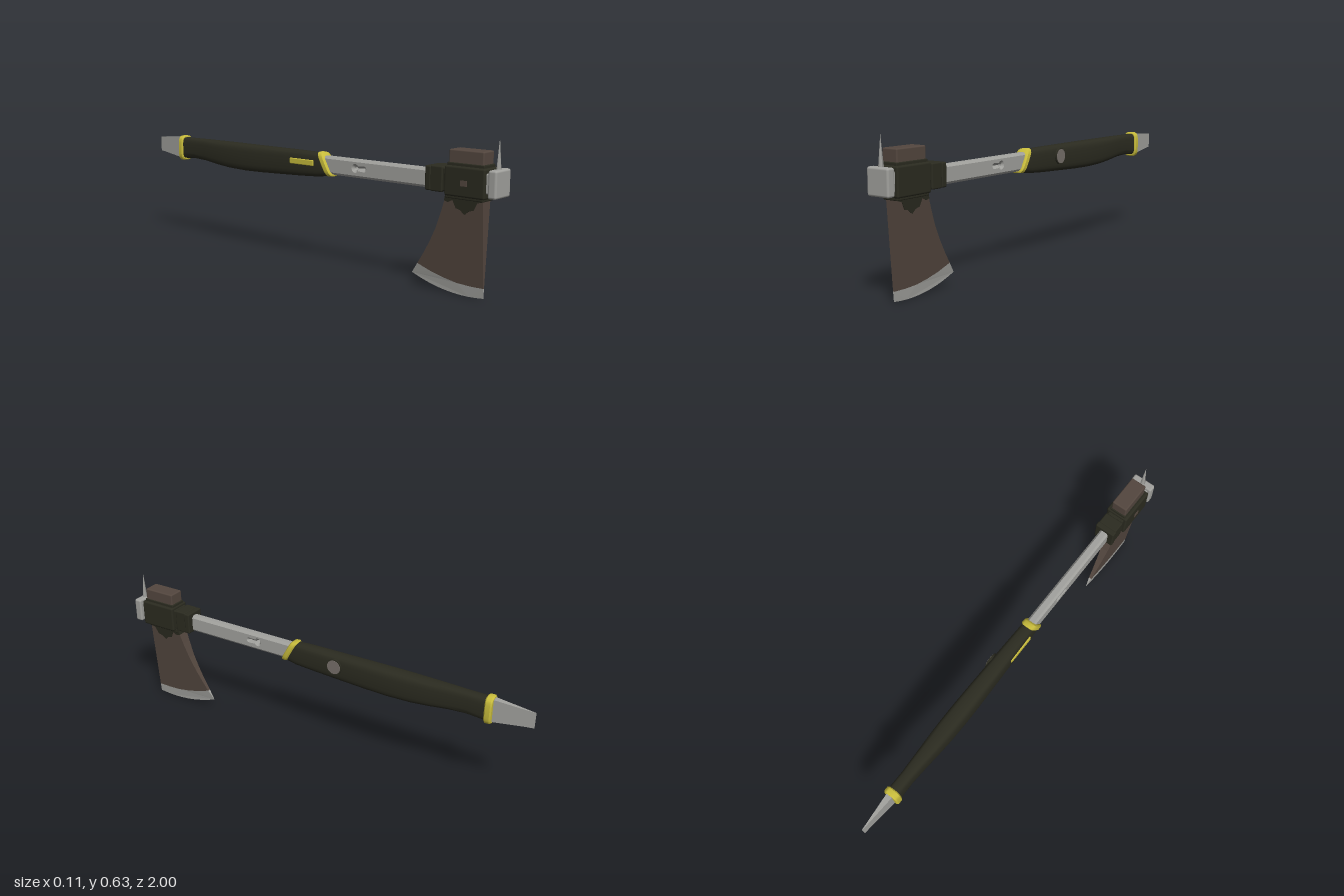
import * as THREE from 'three';
import { toCreasedNormals } from 'three/addons/utils/BufferGeometryUtils.js';
import { RoundedBoxGeometry } from 'three/addons/geometries/RoundedBoxGeometry.js';

const mat = (name, color) => {
  const m = new THREE.MeshStandardMaterial({ color });
  m.name = name;
  return m;
};

export function createModel() {
  const group = new THREE.Group();
  const steel = mat('steel', 0xa2a29e);
  const brown = mat('brown iron', 0x54473f);
  const dark = mat('dark rubber', 0x2b2b20);
  const yellow = mat('yellow', 0xc9bd3c);
  const grey = mat('button grey', 0x77706a);

  const add = (name, geo, material, x = 0, y = 0, z = 0) => {
    const mesh = new THREE.Mesh(geo, material);
    mesh.name = name;
    mesh.position.set(x, y, z);
    group.add(mesh);
    return mesh;
  };

  // Box given by half width, y range and z range, with softened edges
  const block = (name, material, w, y0, y1, z0, z1, r = 0.006) =>
    add(name, new RoundedBoxGeometry(2 * w, y1 - y0, z1 - z0, 2, r), material, 0, (y0 + y1) / 2, (z0 + z1) / 2);

  // Side outline of (z, y) points, extruded across x; halfWidth(z, y) shapes its thickness
  const plate = (name, material, points, halfWidth) => {
    const shape = new THREE.Shape(points.map(([z, y]) => new THREE.Vector2(z, y)));
    const geo = new THREE.ExtrudeGeometry(shape, { depth: 2, bevelEnabled: false });
    geo.translate(0, 0, -1).rotateY(-Math.PI / 2);
    const p = geo.attributes.position;
    for (let i = 0; i < p.count; i++) p.setX(i, p.getX(i) * halfWidth(p.getZ(i), p.getY(i)));
    geo.computeVertexNormals();
    return add(name, geo, material);
  };

  // Rounded-rectangle sections [z, bottom, top, halfWidth, slant] running towards -z
  const loft = (name, material, sections, power = 0.55, n = 24) => {
    const pos = [], idx = [];
    const signed = v => Math.sign(v) * Math.abs(v) ** power;
    for (const [z, y0, y1, w, slant = 0] of sections) {
      for (let j = 0; j < n; j++) {
        const a = (j / n) * Math.PI * 2;
        const dy = signed(Math.sin(a)) * (y1 - y0) / 2;
        pos.push(signed(Math.cos(a)) * w, (y0 + y1) / 2 + dy, z + slant * dy);
      }
    }
    const last = sections.length - 1;
    for (let i = 0; i < last; i++) {
      for (let j = 0; j < n; j++) {
        const a = i * n + j, b = i * n + (j + 1) % n;
        idx.push(a, a + n, b, b, a + n, b + n);
      }
    }
    for (const i of [0, last]) {
      const c = pos.length / 3, [z, y0, y1] = sections[i];
      pos.push(0, (y0 + y1) / 2, z);
      for (let j = 0; j < n; j++) {
        const a = i * n + j, b = i * n + (j + 1) % n;
        idx.push(c, ...(i ? [b, a] : [a, b]));
      }
    }
    const geo = new THREE.BufferGeometry();
    geo.setAttribute('position', new THREE.Float32BufferAttribute(pos, 3));
    geo.setIndex(idx);
    return add(name, toCreasedNormals(geo, 0.6), material);
  };

  // Blade: a wedge thinning towards the cutting edge
  const taper = (z, y) => 0.07 * y;
  const low = z => 0.8 * (z - 0.85) ** 2;
  const border = [[0.93, 0.045], [0.87, 0.044], [0.81, 0.047], [0.75, 0.058], [0.69, 0.073], [0.622, 0.097]];
  plate('blade', brown, [
    [0.93, 0.42], ...border, [0.65, 0.14], [0.685, 0.2], [0.715, 0.26], [0.742, 0.33], [0.762, 0.39], [0.765, 0.42],
  ], taper);
  const edge = [];
  for (let i = 0; i <= 10; i++) {
    const z = 0.592 + 0.0338 * i;
    edge.push([z, low(z)]);
  }
  plate('cuttingEdge', steel, [...border, ...edge], (z, y) => (y - low(z) < 0.002 ? 0.0002 : taper(z, y)));
  plate('bladeSleeve', dark, [
    [0.932, 0.41], [0.932, 0.388], [0.905, 0.38], [0.89, 0.35], [0.87, 0.345], [0.848, 0.328],
    [0.83, 0.345], [0.81, 0.35], [0.795, 0.382], [0.775, 0.37], [0.757, 0.375], [0.765, 0.41],
  ], (z, y) => taper(z, y) + 0.002);

  // Head housing, flanges and stepped collar
  block('headHousing', dark, 0.053, 0.4, 0.518, 0.77, 0.95, 0.008);
  block('lowerFlange', dark, 0.036, 0.388, 0.41, 0.765, 0.937, 0.004);
  block('upperFlange', dark, 0.04, 0.51, 0.53, 0.775, 0.94, 0.004);
  block('headTop', brown, 0.037, 0.5, 0.58, 0.78, 0.935, 0.006);
  block('collarNeck', dark, 0.04, 0.412, 0.506, 0.74, 0.78);
  block('collarMiddle', dark, 0.045, 0.408, 0.51, 0.7, 0.757);
  block('collarEnd', dark, 0.048, 0.41, 0.508, 0.677, 0.704);
  add('rivet', new THREE.BoxGeometry(0.006, 0.022, 0.03), brown, -0.053, 0.455, 0.86);

  // Hammer face and spike
  block('hammerNeck', steel, 0.04, 0.422, 0.5, 0.94, 0.97);
  block('hammerFace', steel, 0.054, 0.407, 0.516, 0.963, 1, 0.009);
  const spike = add('spike', new THREE.ConeGeometry(0.02, 0.2, 6), steel, 0, 0.535, 0.978);
  spike.scale.z = 0.75;

  // Shaft with chamfered edges and a keyhole slot
  const shaftShape = new THREE.Shape([[0.08, 0.424], [0.69, 0.424], [0.69, 0.482], [0.08, 0.482]]
    .map(p => new THREE.Vector2(...p)));
  const slot = new THREE.Path();
  slot.absarc(0.345, 0.455, 0.013, Math.PI / 2 + 1.1, Math.PI / 2 - 1.1 + Math.PI * 2 - Math.PI * 2, true);
  slot.absarc(0.345, 0.455, 0.013, 0.5, -0.5, true);
  const keyhole = new THREE.Path();
  keyhole.absarc(0.304, 0.455, 0.019, 0.6, Math.PI * 2 - 0.6, false);
  keyhole.absarc(0.352, 0.455, 0.0125, -Math.PI / 2, Math.PI / 2, false);
  keyhole.closePath();
  shaftShape.holes.push(keyhole);
  const shaft = new THREE.ExtrudeGeometry(shaftShape, {
    depth: 0.024, bevelThickness: 0.009, bevelSize: 0.01, bevelSegments: 1, curveSegments: 8,
  });
  shaft.translate(0, 0, -0.012).rotateY(-Math.PI / 2);
  add('shaft', shaft, steel);

  // Grip with a slanted front end and a belly
  loft('grip', dark, [
    [0.13, 0.408, 0.5, 0.028, -0.55],
    [0.08, 0.397, 0.503, 0.031, -0.4],
    [0, 0.391, 0.504, 0.033],
    [-0.12, 0.386, 0.504, 0.036],
    [-0.25, 0.381, 0.504, 0.039],
    [-0.36, 0.379, 0.504, 0.041],
    [-0.47, 0.382, 0.504, 0.04],
    [-0.56, 0.39, 0.504, 0.036],
    [-0.64, 0.4, 0.504, 0.031],
    [-0.72, 0.404, 0.503, 0.027],
    [-0.81, 0.398, 0.503, 0.028],
  ]);

  // Yellow end collars
  loft('frontCollar', yellow, [
    [0.15, 0.41, 0.502, 0.027, -0.55],
    [0.145, 0.405, 0.507, 0.033, -0.55],
    [0.126, 0.403, 0.508, 0.034, -0.55],
    [0.12, 0.407, 0.504, 0.03, -0.55],
  ]);
  loft('rearCollar', yellow, [
    [-0.797, 0.393, 0.507, 0.03],
    [-0.802, 0.388, 0.511, 0.035],
    [-0.822, 0.388, 0.511, 0.035],
    [-0.828, 0.393, 0.507, 0.03],
  ]);

  // Pry bar at the butt, thinning to a chisel tip
  plate('pryBar', steel, [[-0.81, 0.397], [-0.97, 0.417], [-1, 0.419], [-1, 0.49], [-0.97, 0.492], [-0.81, 0.503]],
    z => 0.001 + 0.075 * (z + 1));

  // Button on the left side, inlay on the right side
  const disc = (name, r, x0, x1, material) => {
    const geo = new THREE.CylinderGeometry(r, r, x1 - x0, 24).rotateZ(-Math.PI / 2);
    add(name, geo, material, (x0 + x1) / 2, 0.455, -0.108);
  };
  disc('buttonRim', 0.037, 0.01, 0.041, dark);
  disc('buttonFace', 0.032, 0.02, 0.043, grey);
  add('inlay', new RoundedBoxGeometry(0.009, 0.026, 0.14, 2, 0.004), yellow, -0.033, 0.457, 0.01);

  return group;
}
